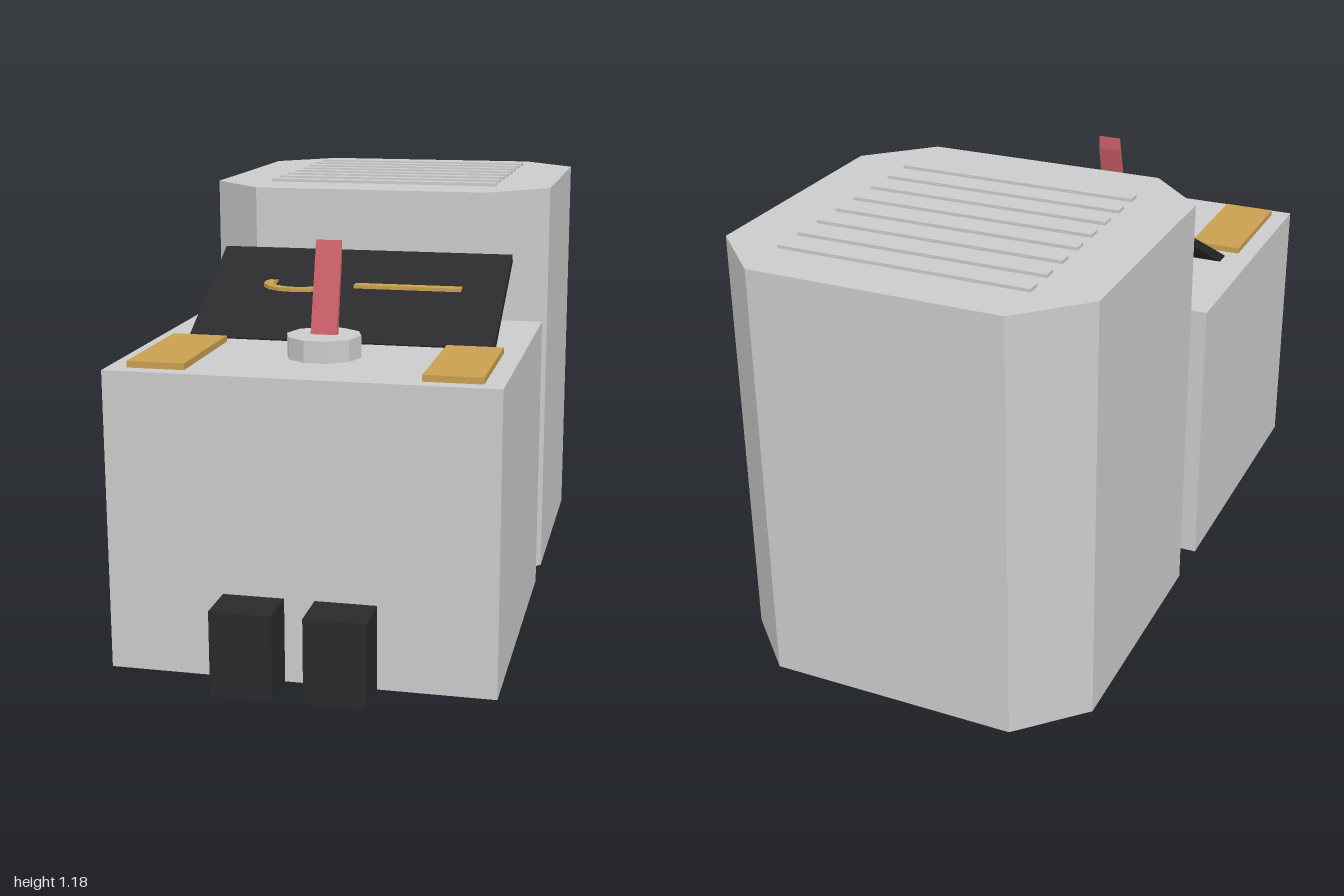
import * as THREE from 'three';

const mat = (color) => new THREE.MeshStandardMaterial({ color, flatShading: true });

export function createModel() {
  const model = new THREE.Group();
  const grey = mat(0xcccccc), dark = mat(0x2a2a2c), gold = mat(0xc9a050), red = mat(0xcc6069);

  const add = (name, geometry, material, x = 0, y = 0, z = 0) => {
    const mesh = new THREE.Mesh(geometry, material);
    mesh.name = name;
    mesh.position.set(x, y, z);
    model.add(mesh);
    return mesh;
  };
  // Box given by its limits on each axis
  const box = (name, material, [x0, x1], [y0, y1], [z0, z1]) =>
    add(name, new THREE.BoxGeometry(x1 - x0, y1 - y0, z1 - z0), material,
      (x0 + x1) / 2, (y0 + y1) / 2, (z0 + z1) / 2);
  // Upright prism from an outline of [x, z] points
  const extrude = (shape, depth) =>
    new THREE.ExtrudeGeometry(shape, { depth, bevelEnabled: false, curveSegments: 8 });
  const polygon = (points) => new THREE.Shape(points.map(([a, b]) => new THREE.Vector2(a, b)));

  // Low front body
  box('frontBody', grey, [-0.51, 0.51], [0, 0.8], [0, 0.875]);

  // Tall rear housing with chamfered corners
  const w = 0.51, c = 0.345;
  const housing = polygon([
    [-c, -0.02], [-w, 0.145], [-w, 0.835], [-c, 1],
    [c, 1], [w, 0.835], [w, 0.145], [c, -0.02],
  ].reverse());
  add('rearHousing', extrude(housing, 1.175).rotateX(-Math.PI / 2), grey);

  // Vent slats on the rear housing
  for (let i = 0; i < 8; i++) {
    const z = -0.835 + i * 0.0945;
    box('ventSlat', grey, [-c, c], [1.17, 1.184], [z - 0.019, z + 0.019]);
  }

  // Sloping dashboard
  const panel = add('dashboard', new THREE.BoxGeometry(0.853, 0.025, 0.417), dark, 0, 0.893, 0.238);
  panel.rotation.x = 0.5;

  // Flat dial ring, sunk into the dashboard at the back, and bar beside it
  const ring = new THREE.Shape().absarc(0, 0, 0.108, 0, Math.PI * 2);
  ring.holes.push(new THREE.Path().absarc(0, 0, 0.081, 0, Math.PI * 2, true));
  add('dialRing', extrude(ring, 0.01).rotateX(-Math.PI / 2), gold, -0.154, 0.921, 0.227);
  box('dialBar', gold, [0, 0.305], [0.921, 0.931], [0.205, 0.242]);

  // Lever base and leaning lever
  add('leverBase', new THREE.CylinderGeometry(0.1, 0.1, 0.06, 10, 1, false, Math.PI / 10),
    grey, 0, 0.828, 0.592);
  const blade = polygon([[-0.53, 1.098], [-0.6, 0.85], [-0.578, 0.85], [-0.53, 1.058]]);
  add('lever', extrude(blade, 0.07).translate(0, 0, -0.035).rotateY(Math.PI / 2), red);

  // Pads and feet, mirrored left and right
  for (const s of [-1, 1]) {
    const span = (a, b) => (s > 0 ? [a, b] : [-b, -a]);
    box('sidePad', gold, span(0.305, 0.458), [0.795, 0.817], [0.467, 0.833]);
    box('foot', dark, span(0.04, 0.202), [0, 0.226], [0.87, 1]);
  }

  return model;
}
